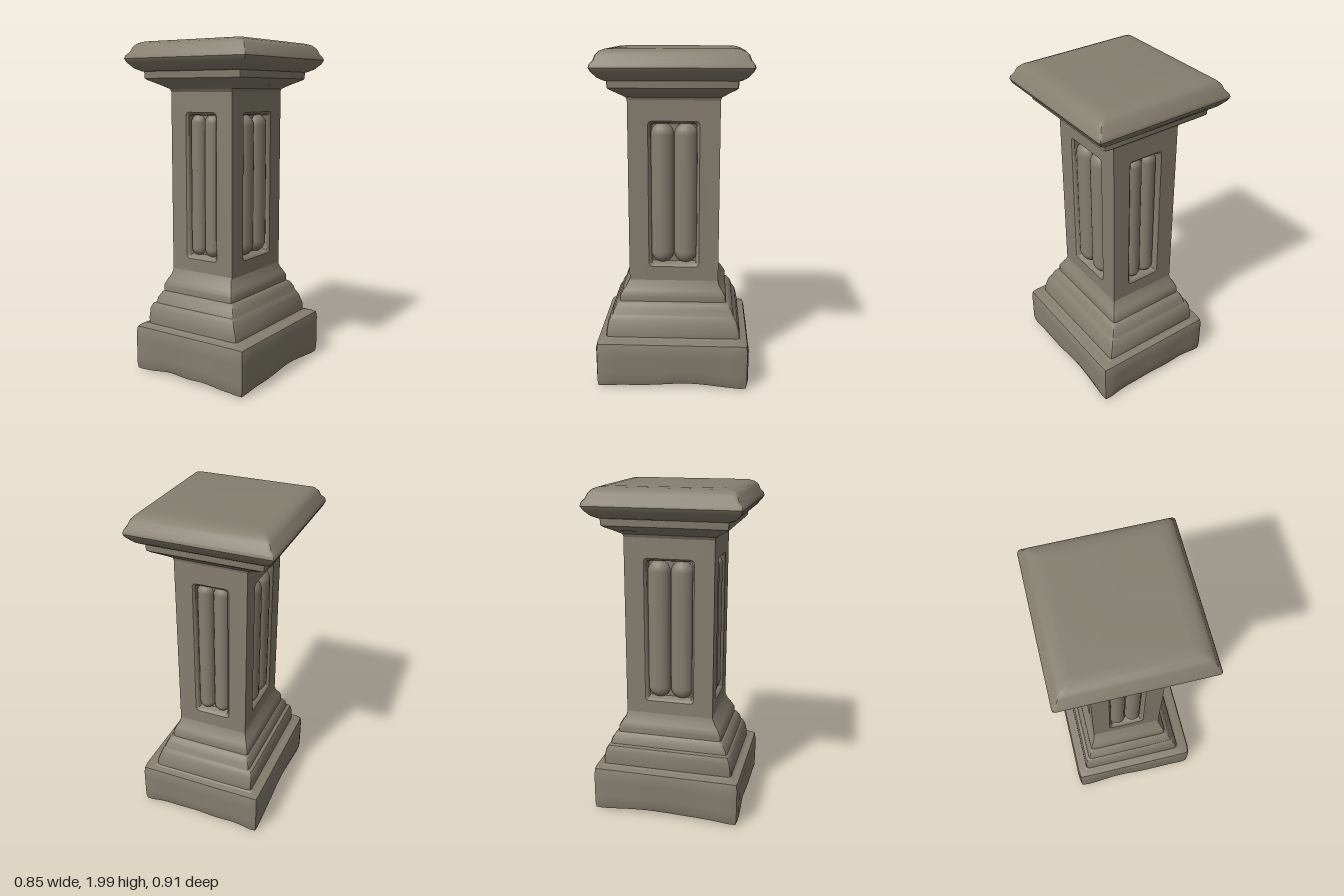
import * as THREE from 'three';
import { mergeVertices, toCreasedNormals } from 'three/addons/utils/BufferGeometryUtils.js';

const stone = new THREE.MeshStandardMaterial({ color: 0x857f6f });
stone.name = 'grey brown stone';

// Rounded rectangle in the xy plane, counter-clockwise: 3 points per corner
function rectangle(x0, x1, y0, y1, r) {
  const points = [];
  [[x1, y1], [x0, y1], [x0, y0], [x1, y0]].forEach(([x, y], i) => {
    const cx = x - Math.sign(x - (x0 + x1) / 2) * r;
    const cy = y - Math.sign(y - (y0 + y1) / 2) * r;
    for (let k = 0; k < 3; k++) {
      const a = (i + k / 2) * Math.PI / 2;
      points.push([cx + r * Math.cos(a), cy + r * Math.sin(a)]);
    }
  });
  return points;
}

// Skin rectangular rings [x0, x1, y0, y1, height, radius]; the last ring is closed
function loft(rings, crease = 0.6, closeStart = false) {
  const loops = rings.map(([x0, x1, y0, y1, h, r]) =>
    rectangle(x0, x1, y0, y1, r).map(([x, y]) => new THREE.Vector3(x, y, h)));
  const pos = [];
  const tri = (a, b, c) => {
    const area = b.clone().sub(a).cross(c.clone().sub(a)).length();
    if (area > 1e-9) pos.push(...a, ...b, ...c);
  };
  const n = loops[0].length;
  for (let i = 0; i < loops.length - 1; i++) {
    for (let j = 0; j < n; j++) {
      const k = (j + 1) % n, A = loops[i], B = loops[i + 1];
      tri(A[j], A[k], B[k]);
      tri(A[j], B[k], B[j]);
    }
  }
  const end = loops[loops.length - 1];
  for (let j = 1; j < n - 1; j++) {
    tri(end[0], end[j], end[j + 1]);
    if (closeStart) tri(loops[0][0], loops[0][j + 1], loops[0][j]);
  }
  const geometry = new THREE.BufferGeometry();
  geometry.setAttribute('position', new THREE.Float32BufferAttribute(pos, 3));
  return toCreasedNormals(geometry, crease);
}

function add(parent, name, geometry) {
  const mesh = new THREE.Mesh(geometry, stone);
  mesh.name = name;
  parent.add(mesh);
  return mesh;
}

// Stacked moulding from rows [y, left, right, back, front, radius]
function moulding(parent, name, rows) {
  const rings = rows.map(([y, x0, x1, z0, z1, r]) => [x0, x1, -z1, -z0, y, r]);
  const mesh = add(parent, name, loft(rings, 0.6, true));
  mesh.rotation.x = -Math.PI / 2;
}

// Worn block with softened edges, raised between its corners
function plinthGeometry() {
  const half = new THREE.Vector3(0.3975, 0.148, 0.457), r = 0.035;
  let g = new THREE.BoxGeometry(half.x * 2, half.y * 2, half.z * 2, 16, 6, 16);
  g.deleteAttribute('uv');
  g.deleteAttribute('normal');
  g = mergeVertices(g);
  const p = g.attributes.position, v = new THREE.Vector3(), inner = new THREE.Vector3();
  const limit = half.clone().subScalar(r);
  for (let i = 0; i < p.count; i++) {
    v.fromBufferAttribute(p, i);
    const u = v.x / half.x, w = v.z / half.z, low = 0.5 - v.y / half.y / 2;
    inner.copy(v).clamp(limit.clone().negate(), limit);
    const off = v.clone().sub(inner);
    v.copy(inner).add(off.setLength(Math.min(r, off.length())));
    const middle = 1 - Math.min(1, (u * w) ** 2);
    v.y += low * (0.022 * middle + 0.005 * Math.sin(u * 9 + w * 5) * middle);
    // shallow wear on the four faces
    const dent = 0.014 * low * (0.6 + 0.4 * Math.sin(u * 5 - w * 4 + 1));
    if (Math.abs(u) > 0.99) v.x -= Math.sign(u) * dent * (1 - w * w);
    if (Math.abs(w) > 0.99) v.z -= Math.sign(w) * dent * (1 - u * u);
    p.setXYZ(i, v.x + 0.0225, v.y + half.y + 0.004, v.z + 0.003);
  }
  return toCreasedNormals(g, 0.7);
}

// One shaft face with a sunken panel holding two upright reeds
function shaftFace(name, halfWidth, distance, panel, reedOut) {
  const face = new THREE.Group();
  face.name = name;
  const y0 = 0.58, y1 = 1.74, low = 0.715, high = 1.59;
  add(face, 'panelFrame', loft([
    [-halfWidth, halfWidth, y0, y1, distance, 0],
    [-panel, panel, low, high, distance, 0.02],
    [-panel + 0.012, panel - 0.012, low + 0.012, high - 0.012, distance - 0.012, 0.018],
    [-panel + 0.02, panel - 0.02, low + 0.025, high - 0.02, distance - 0.045, 0.015],
  ], 0.5));
  const r = (panel - 0.012) / 2;
  for (const side of [-1, 1]) {
    const reed = add(face, 'reed', new THREE.CapsuleGeometry(r, high - low - 0.03 - 2 * r, 6, 16));
    const depth = 0.05 + reedOut;
    reed.scale.z = depth / r;
    reed.position.set(side * r, (low + high) / 2 + 0.003, distance - 0.05);
  }
  return face;
}

export function createModel() {
  const model = new THREE.Group();
  model.name = 'pedestal';

  add(model, 'plinth', plinthGeometry());

  // Stepped base mouldings
  moulding(model, 'baseMoulding', [
    [0.27, -0.36, 0.40, -0.435, 0.44, 0.02],
    [0.302, -0.325, 0.35, -0.405, 0.41, 0.02],
    [0.306, -0.31, 0.337, -0.40, 0.402, 0.02],
    [0.34, -0.312, 0.335, -0.40, 0.402, 0.02],
    [0.40, -0.31, 0.315, -0.385, 0.392, 0.02],
    [0.425, -0.30, 0.305, -0.37, 0.38, 0.02],
    [0.432, -0.28, 0.298, -0.365, 0.37, 0.02],
    [0.465, -0.275, 0.288, -0.355, 0.36, 0.02],
    [0.495, -0.26, 0.272, -0.335, 0.34, 0.02],
    [0.505, -0.253, 0.255, -0.318, 0.328, 0.02],
    [0.54, -0.253, 0.255, -0.316, 0.326, 0.02],
    [0.57, -0.242, 0.242, -0.30, 0.31, 0.02],
    [0.60, -0.225, 0.225, -0.277, 0.285, 0.01],
    [0.64, -0.216, 0.214, -0.264, 0.266, 0.005],
  ]);

  // Shaft with a panel on each side
  const hx = 0.217, hz = 0.267;
  const shaft = new THREE.Group();
  shaft.name = 'shaft';
  const faces = [['front', 0], ['left', 1], ['back', 2], ['right', 3]];
  for (const [name, turn] of faces) {
    const face = turn % 2
      ? shaftFace(name + 'Face', hz, hx, 0.15, 0.006)
      : shaftFace(name + 'Face', hx, hz, 0.11, -0.005);
    face.rotation.y = turn * Math.PI / 2;
    shaft.add(face);
  }
  model.add(shaft);

  // Flared neck and the band under the cap
  moulding(model, 'neckMoulding', [
    [1.70, -0.214, 0.214, -0.264, 0.264, 0],
    [1.725, -0.225, 0.222, -0.272, 0.275, 0.005],
    [1.75, -0.275, 0.268, -0.31, 0.315, 0.01],
    [1.775, -0.33, 0.325, -0.35, 0.355, 0.015],
    [1.785, -0.345, 0.338, -0.362, 0.365, 0.015],
    [1.85, -0.348, 0.34, -0.366, 0.369, 0.015],
  ]);

  // Overhanging cap with a rounded rim
  moulding(model, 'cap', [
    [1.825, -0.35, 0.345, -0.375, 0.38, 0.015],
    [1.842, -0.385, 0.38, -0.405, 0.41, 0.015],
    [1.875, -0.415, 0.415, -0.435, 0.44, 0.015],
    [1.898, -0.425, 0.425, -0.448, 0.452, 0.015],
    [1.915, -0.42, 0.42, -0.444, 0.447, 0.015],
    [1.935, -0.403, 0.408, -0.428, 0.43, 0.02],
    [1.965, -0.39, 0.395, -0.415, 0.418, 0.02],
    [1.985, -0.37, 0.375, -0.395, 0.40, 0.02],
    [1.996, -0.34, 0.345, -0.365, 0.37, 0.02],
    [2.0, -0.30, 0.305, -0.325, 0.33, 0.02],
  ]);

  return model;
}
